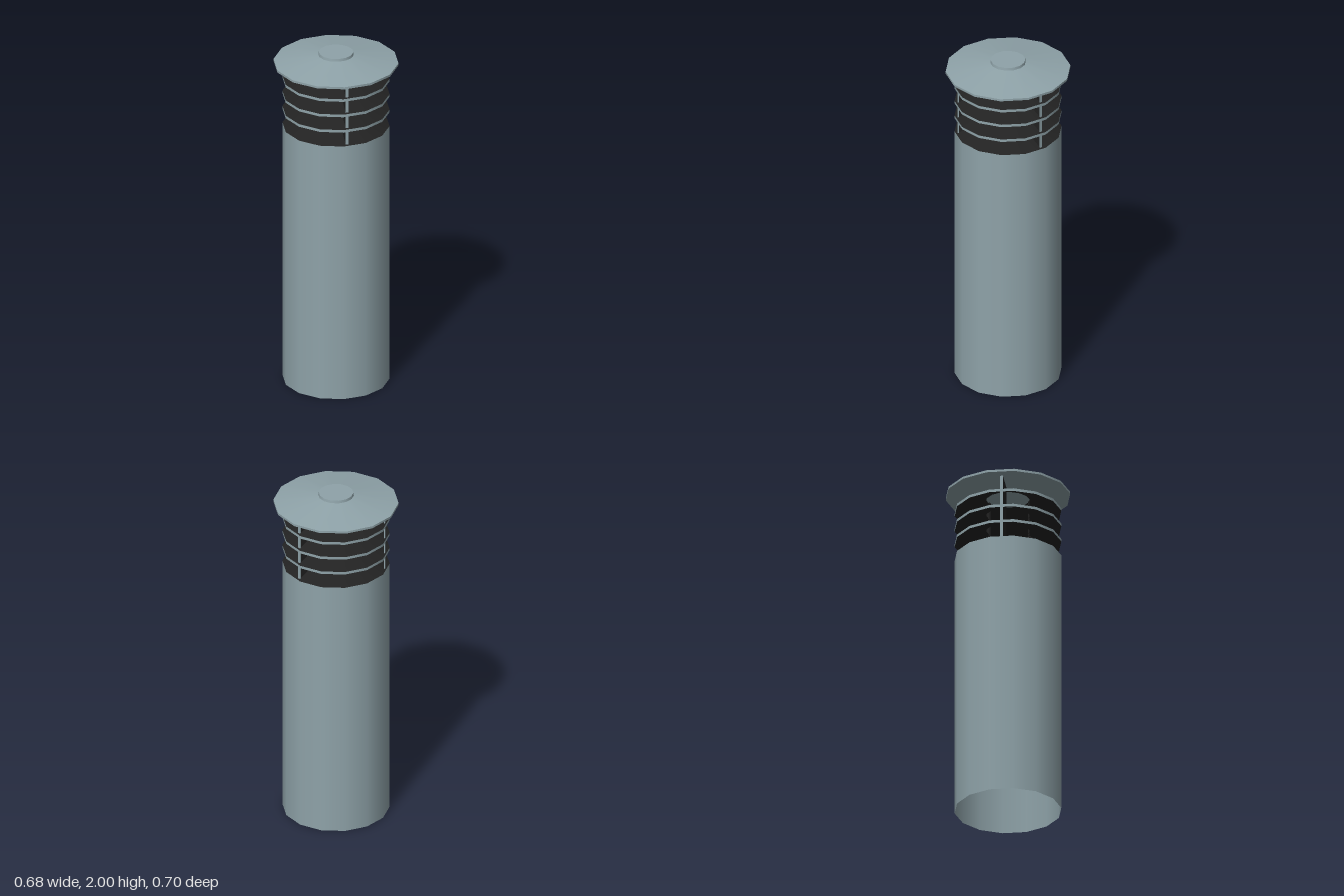
import * as THREE from 'three';

const SIDES = 14;
const R = 0.3;

export function createModel() {
  const model = new THREE.Group();
  model.name = 'louvredBollard';
  const paint = new THREE.MeshStandardMaterial({ color: 0x8fa3a9, side: THREE.DoubleSide });
  const dark = new THREE.MeshStandardMaterial({ color: 0x222222, side: THREE.DoubleSide });

  function add(name, geometry, material, y = 0, parent = model) {
    const mesh = new THREE.Mesh(geometry, material);
    mesh.name = name;
    mesh.position.y = y;
    parent.add(mesh);
    return mesh;
  }
  // Tapered ring, standing on its lower edge
  function ring(name, rTop, rBottom, y0, y1, material, open = true) {
    const g = new THREE.CylinderGeometry(rTop, rBottom, y1 - y0, SIDES, 1, open);
    return add(name, g, material, (y0 + y1) / 2);
  }

  // Hollow post, open at the foot
  ring('post', R, R, 0, 1.555, paint);

  // Louvres: dark sloping blades, the upper three with a painted rim
  ring('postTopBlade', 0.125, R, 1.555, 1.635, dark);
  for (let i = 0; i < 3; i++) {
    const y = 1.64 + i * 0.095;
    ring('louvreRim', R, R, y, y + 0.016, paint);
    ring('louvreTop', 0.125, R, y + 0.016, y + 0.09, dark);
    ring('louvreUnderside', 0.125, R, y, y + 0.074, dark);
  }

  // Three radial fins with painted outer edges
  for (let i = 0; i < 3; i++) {
    const fin = new THREE.Group();
    fin.name = 'fin';
    fin.rotation.y = Math.PI / 3 + i * Math.PI * 2 / 3;
    const plate = add('finPlate', new THREE.BoxGeometry(0.155, 0.375, 0.014), dark, 1.7425, fin);
    plate.position.x = 0.2025;
    const edge = add('finEdge', new THREE.BoxGeometry(0.006, 0.375, 0.016), paint, 1.7425, fin);
    edge.position.x = 0.283;
    model.add(fin);
  }

  // Shallow conical cap with a small raised disc
  ring('capRim', 0.35, 0.35, 1.93, 1.943, paint);
  ring('capTop', 0.1, 0.35, 1.943, 1.985, paint);
  const base = add('capUnderside', new THREE.CircleGeometry(0.35, SIDES, Math.PI / 2), paint, 1.93);
  base.rotation.x = Math.PI / 2;
  ring('capDisc', 0.097, 0.1, 1.98, 2, paint, false);

  return model;
}
